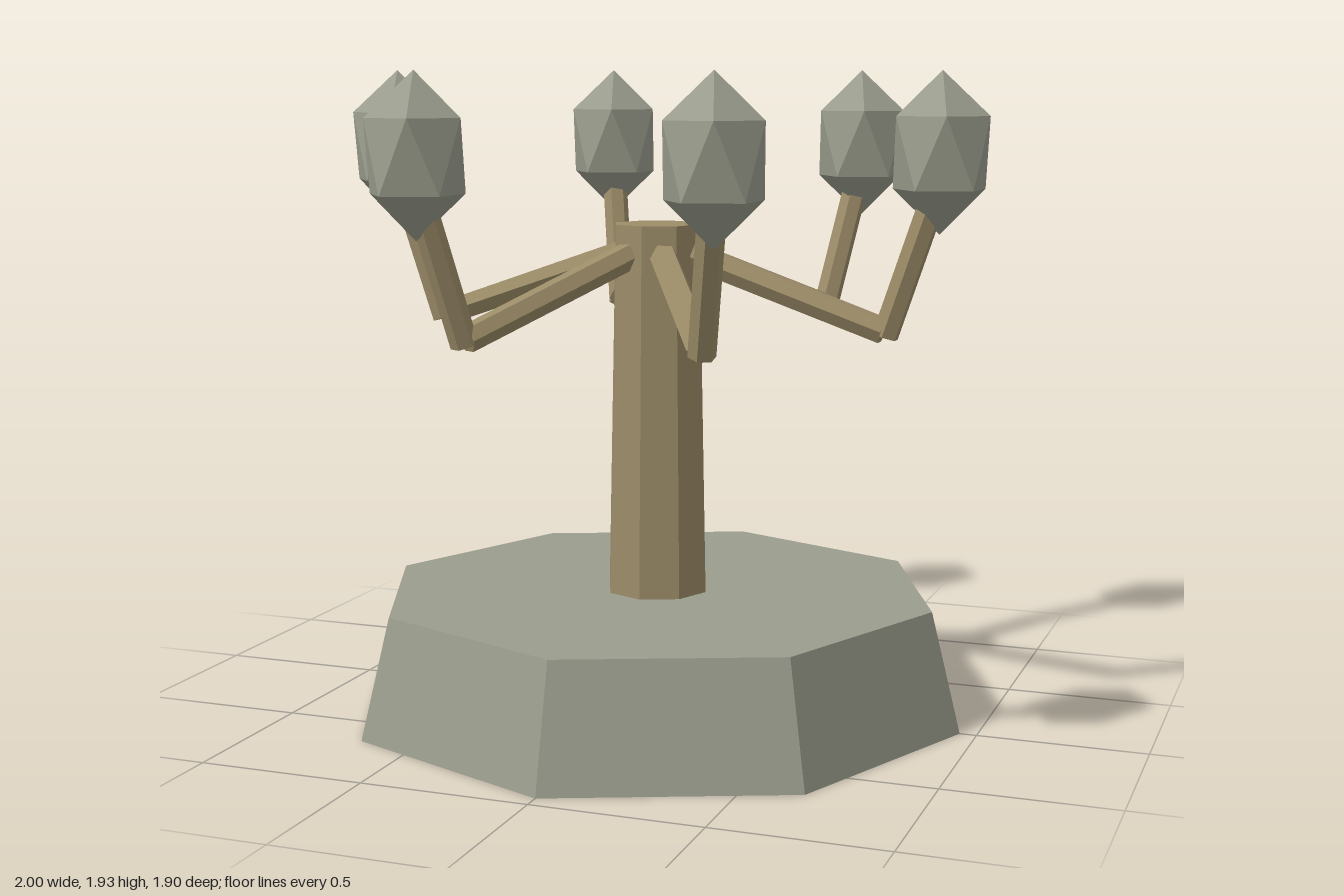
import * as THREE from 'three';

const stone = new THREE.MeshStandardMaterial({ color: 0x9a9d8d, flatShading: true });
stone.name = 'grey stone';
const wood = new THREE.MeshStandardMaterial({ color: 0x9c8c68, flatShading: true });
wood.name = 'tan wood';

function addMesh(parent, name, geometry, material) {
  const mesh = new THREE.Mesh(geometry, material);
  mesh.name = name;
  parent.add(mesh);
  return mesh;
}

// Six-sided bar between two points in the local xy plane
function addBar(parent, name, a, b, rA, rB) {
  const from = new THREE.Vector3(a[0], a[1], 0);
  const dir = new THREE.Vector3(b[0], b[1], 0).sub(from);
  const bar = addMesh(parent, name, new THREE.CylinderGeometry(rB, rA, dir.length(), 6), wood);
  bar.position.copy(from).addScaledVector(dir, 0.5);
  bar.rotation.z = Math.atan2(-dir.x, dir.y);
}

export function createModel() {
  const model = new THREE.Group();
  model.name = 'branchedStand';

  // Sloped octagonal base and tapered trunk
  addMesh(model, 'base', new THREE.CylinderGeometry(0.86, 0.95, 0.36, 8), stone).position.y = 0.18;
  addMesh(model, 'trunk', new THREE.CylinderGeometry(0.134, 0.157, 1.12, 8), wood).position.y = 0.92;

  // Icosahedron standing on a corner, stretched upward
  const budGeometry = new THREE.IcosahedronGeometry(1, 0);
  budGeometry.rotateZ(-Math.atan2(1, (1 + Math.sqrt(5)) / 2));
  budGeometry.scale(0.156, 0.233, 0.156);

  for (let i = 0; i < 6; i++) {
    const angle = (i * Math.PI) / 3;

    // Bent arm: falls outward to the elbow, then rises to the bud
    const arm = new THREE.Group();
    arm.name = 'arm';
    arm.rotation.y = angle;
    addBar(arm, 'lowerArm', [0.05, 1.41], [0.7, 1.185], 0.043, 0.041);
    addBar(arm, 'upperArm', [0.705, 1.17], [0.85, 1.6], 0.04, 0.04);
    model.add(arm);

    // All buds keep the same orientation
    const bud = addMesh(model, 'bud', budGeometry, stone);
    bud.position.set(0.86 * Math.cos(angle), 1.702, -0.86 * Math.sin(angle));
  }
  return model;
}
